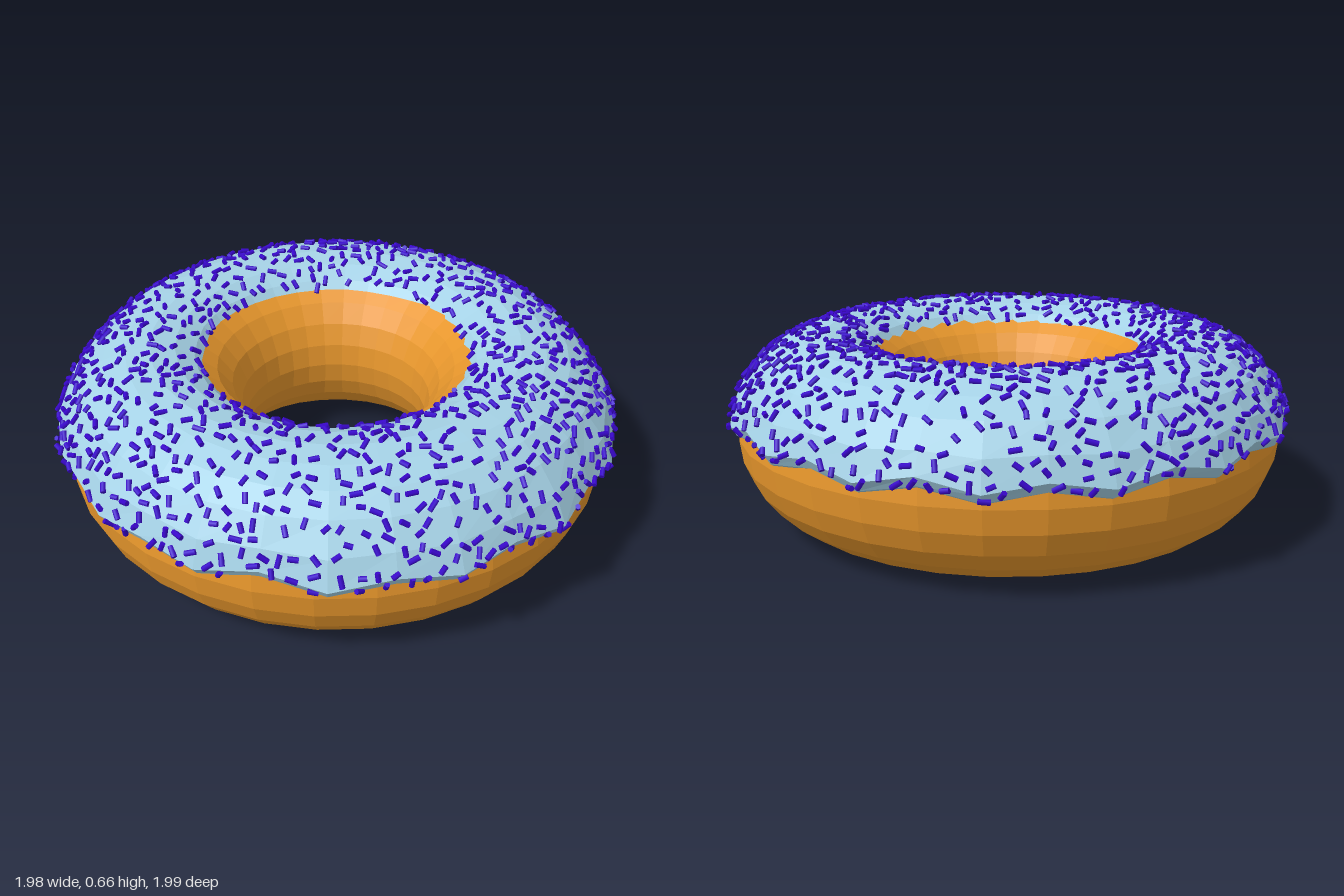
import * as THREE from 'three';
import { mergeGeometries } from 'three/addons/utils/BufferGeometryUtils.js';

const RING = 0.64, TUBE = 0.315, SIDES = 32;

// Small seeded random generator
function makeRandom(seed) {
  return () => {
    seed = (seed * 1664525 + 1013904223) % 4294967296;
    return seed / 4294967296;
  };
}

// Point at an angle round the ring, an angle round the tube and a tube radius
function tubePoint(around, angle, radius) {
  const r = RING + radius * Math.cos(angle);
  return new THREE.Vector3(r * Math.sin(around), TUBE + radius * Math.sin(angle), r * Math.cos(around));
}

// Rows of icing points: lip at the wavy outer rim, over the top, down to the inner rim
function icingRows() {
  const rand = makeRandom(11);
  const columns = Array.from({ length: SIDES }, (_, i) => {
    const around = (i / SIDES) * Math.PI * 2;
    return {
      around: around + 0.08 * Math.max(0, Math.cos(around)),
      dip: (i % 2 ? -2.6 : 2.6) + (rand() - 0.5) * 2,
      swell: (rand() - 0.5) * 0.016 + (i % 2 ? 0.006 : -0.004),
      inner: (rand() - 0.5) * 2,
    };
  });
  // [tube angle in degrees, tube radius, share of rim wave, share of inner wave]
  const profile = [
    [6.5, 0.311, 1, 0], [7.5, 0.322, 1, 0], [12.5, 0.347, 1, 0], [27, 0.341, 0.4, 0],
    [45, 0.336, 0, 0], [60, 0.333, 0, 0], [75, 0.331, 0, 0], [90, 0.331, 0, 0],
    [105, 0.328, 0, 0.2], [118, 0.322, 0, 0.6], [126, 0.311, 0, 1],
  ];
  return profile.map(([deg, radius, wave, innerWave]) => columns.map((c) =>
    tubePoint(c.around, THREE.MathUtils.degToRad(deg + c.dip * wave + c.inner * innerWave), radius + c.swell * wave)));
}

function gridGeometry(rows) {
  const index = [];
  for (let j = 0; j < rows.length - 1; j++) {
    for (let i = 0; i < SIDES; i++) {
      const a = j * SIDES + i, b = j * SIDES + (i + 1) % SIDES;
      index.push(a, b, b + SIDES, a, b + SIDES, a + SIDES);
    }
  }
  const geometry = new THREE.BufferGeometry().setFromPoints(rows.flat());
  geometry.setIndex(index);
  geometry.computeVertexNormals();
  return geometry;
}

// Sprinkles lie on the icing, evenly spread and turned at random
function sprinkleGeometry(rows) {
  const rand = makeRandom(5);
  const unit = new THREE.CylinderGeometry(0.009, 0.009, 0.034, 6);
  const up = new THREE.Vector3(0, 1, 0);
  const placed = [], parts = [];
  for (let tries = 0; tries < 40000 && placed.length < 1000; tries++) {
    const s = rand() * SIDES, i = Math.floor(s), k = (i + 1) % SIDES, fu = s - i;
    const t = 1.3 + rand() * 8.4, j = Math.floor(t), fv = t - j;
    const [a, b, c, d] = [rows[j][i], rows[j][k], rows[j + 1][i], rows[j + 1][k]];
    const low = a.clone().lerp(b, fu), high = c.clone().lerp(d, fu);
    const p = low.clone().lerp(high, fv);

    // Keep the density even over the surface
    const area = b.distanceTo(a) * high.distanceTo(low);
    if (rand() > area / 0.021) continue;
    if (placed.some((q) => q.distanceToSquared(p) < 0.0013)) continue;
    placed.push(p);

    const along = b.clone().sub(a).normalize();
    const normal = along.clone().cross(high.sub(low)).normalize();
    const direction = along.applyAxisAngle(normal, rand() * Math.PI)
      .addScaledVector(normal, (rand() - 0.5) * 0.6).normalize();
    const turn = new THREE.Quaternion().setFromUnitVectors(up, direction);
    const matrix = new THREE.Matrix4().compose(
      p.clone().addScaledVector(normal, 0.005), turn, new THREE.Vector3(1, 0.75 + rand() * 0.45, 1));
    parts.push(unit.clone().applyMatrix4(matrix));
  }
  return mergeGeometries(parts);
}

export function createModel() {
  const dough = new THREE.MeshStandardMaterial({ color: 0xe8972c });
  dough.name = 'golden dough';
  dough.flatShading = true;
  const glaze = new THREE.MeshStandardMaterial({ color: 0xa5d2e6 });
  glaze.name = 'pale blue icing';
  glaze.flatShading = true;
  glaze.side = THREE.DoubleSide;
  const candy = new THREE.MeshStandardMaterial({ color: 0x3a06d0 });
  candy.name = 'violet candy';

  const group = new THREE.Group();
  group.name = 'doughnut';
  const add = (name, geometry, material) => {
    const mesh = new THREE.Mesh(geometry, material);
    mesh.name = name;
    group.add(mesh);
  };

  // Baked ring
  const ring = new THREE.TorusGeometry(RING, TUBE, 24, SIDES);
  ring.rotateX(-Math.PI / 2).translate(0, TUBE, 0);
  add('doughRing', ring, dough);

  // Icing cap and its sprinkles
  const rows = icingRows();
  add('icing', gridGeometry(rows), glaze);
  add('sprinkles', sprinkleGeometry(rows), candy);
  return group;
}
